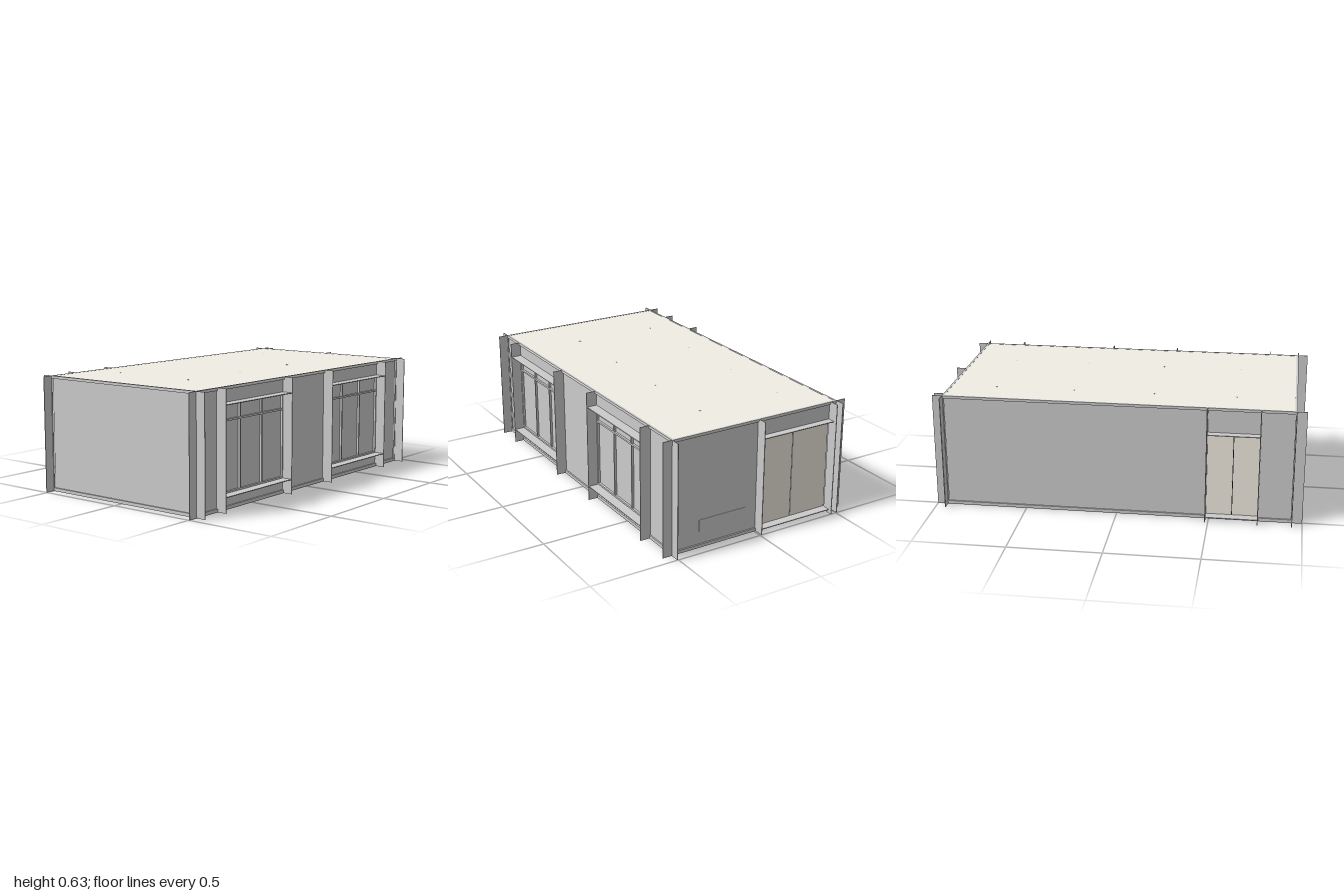
import * as THREE from 'three';

const H = 0.63;             // wall height
const HX = 0.947, HZ = 0.507; // half size of the room
const T = 0.004;            // sheet thickness
const REACH = 0.053;        // how far the fins stand out

const make = (color) => new THREE.MeshStandardMaterial({ color });
const grey = make(0xcccccc);
const cream = make(0xf1ede5);
const doorCream = make(0xf0e9de);
const black = make(0x111111);

// Box given by its limits on each axis
function box(parent, name, [x0, x1], [y0, y1], [z0, z1], mat = grey) {
  const mesh = new THREE.Mesh(new THREE.BoxGeometry(x1 - x0, y1 - y0, z1 - z0), mat);
  mesh.position.set((x0 + x1) / 2, (y0 + y1) / 2, (z0 + z1) / 2);
  mesh.name = name;
  parent.add(mesh);
  return mesh;
}

// Wall sheet in local axes: x along the wall, z outwards
function makeWall(name, half, dist, angle, openings) {
  const wall = new THREE.Group();
  wall.name = name;
  wall.rotation.y = angle;
  const face = dist - 0.008;
  const w = half - 0.008;

  const shape = new THREE.Shape([
    new THREE.Vector2(-w, 0), new THREE.Vector2(w, 0),
    new THREE.Vector2(w, H), new THREE.Vector2(-w, H),
  ]);
  for (const { x: [a, b], y: [c, d] } of openings) {
    shape.holes.push(new THREE.Path([
      new THREE.Vector2(a, c), new THREE.Vector2(a, d),
      new THREE.Vector2(b, d), new THREE.Vector2(b, c),
    ]));
  }
  const sheet = new THREE.Mesh(
    new THREE.ExtrudeGeometry(shape, { depth: T, bevelEnabled: false }), grey);
  sheet.position.z = face - T;
  sheet.name = 'wallSheet';
  wall.add(sheet);

  // Trim along the foot and the top
  box(wall, 'skirting', [-half, half], [0, 0.018], [face, dist]);
  box(wall, 'cornice', [-half, half], [H - 0.015, H], [face, dist]);

  // Corner fins carry on the wall ends
  for (const s of [-1, 1]) {
    const x = s * (half - T / 2);
    box(wall, 'cornerFin', [x - T / 2, x + T / 2], [0, H], [face, dist + REACH]);
  }

  for (const o of openings) {
    const { x: [a, b], y: [c, d], ledge } = o;
    // Full-height fins beside the opening
    for (const x of [a, b]) {
      box(wall, 'jambFin', [x - T / 2, x + T / 2], [0, H], [face, dist + REACH]);
    }
    // Ledges above and below the opening
    for (const y of [c, d]) {
      box(wall, 'ledge', [a, b], [y - T / 2, y + T / 2], [face - 0.01, dist + ledge]);
    }
    if (o.door) addDoor(wall, o, face);
    else addWindow(wall, o, face);
  }
  return wall;
}

// Three panes with mullions and a transom
function addWindow(wall, { x: [a, b], y: [c, d] }, face) {
  box(wall, 'windowPane', [a, b], [c, d], [face - 0.014, face - 0.01]);
  const depth = [face - 0.01, face + 0.002];
  for (let i = 0; i <= 3; i++) {
    const x = a + 0.004 + ((b - a - 0.008) * i) / 3;
    box(wall, 'mullion', [x - 0.004, x + 0.004], [c, d], depth);
  }
  for (const y of [c + 0.006, d - 0.09, d - 0.006]) {
    box(wall, 'transom', [a, b], [y - 0.005, y + 0.005], depth);
  }
}

// Two door leaves with a narrow gap
function addDoor(wall, { x: [a, b], y: [c, d] }, face) {
  const mid = (a + b) / 2;
  const depth = [face - 0.014, face - 0.008];
  box(wall, 'doorLeaf', [a, mid - 0.002], [c, d], depth, doorCream);
  box(wall, 'doorLeaf', [mid + 0.002, b], [c, d], depth, doorCream);
  box(wall, 'doorGap', [mid - 0.002, mid + 0.002], [c, d], [face - 0.016, face - 0.012], black);
}

export function createModel() {
  const room = new THREE.Group();
  room.name = 'room';

  // Walls
  const windows = [[-0.78, -0.218], [0.168, 0.727]].map(
    (x) => ({ x, y: [0.08, 0.547], ledge: 0.05 }));
  const rightDoor = { x: [0.01, 0.468], y: [0.02, 0.53], ledge: 0.034, door: true };
  const backDoor = { x: [0.483, 0.763], y: [0.02, 0.49], ledge: 0.037, door: true };
  const right = makeWall('rightWall', HZ, HX, Math.PI / 2, [rightDoor]);
  room.add(
    makeWall('frontWall', HX, HZ, 0, windows),
    right,
    makeWall('backWall', HX, HZ, Math.PI, [backDoor]),
    makeWall('leftWall', HZ, HX, -Math.PI / 2, []),
  );

  // Low panel on the right wall
  box(right, 'radiator', [-0.34, -0.06], [0.043, 0.153], [HX - 0.03, HX - 0.006]);

  // Floor and ceiling
  box(room, 'floor', [-HX, HX], [0.002, 0.008], [-HZ, HZ]);
  box(room, 'ceiling', [-HX, HX], [H - 0.008, H - 0.001], [-HZ, HZ], cream);

  // Small downlights in the ceiling
  const lamp = new THREE.CylinderGeometry(0.006, 0.006, 0.008, 12);
  for (const x of [-0.62, -0.18, 0.26, 0.69]) {
    for (const z of [-0.31, 0.18]) {
      const mesh = new THREE.Mesh(lamp, grey);
      mesh.position.set(x, H - 0.0045, z);
      mesh.name = 'downlight';
      room.add(mesh);
    }
  }

  // Dark round bases showing under the floor
  const disc = new THREE.CylinderGeometry(0.04, 0.04, 0.008, 32);
  for (const [x, z] of [[0.86, 0.42], [-0.38, -0.43], [-0.84, 0.42]]) {
    const mesh = new THREE.Mesh(disc, black);
    mesh.position.set(x, 0.0045, z);
    mesh.name = 'roundBase';
    room.add(mesh);
  }
  return room;
}
